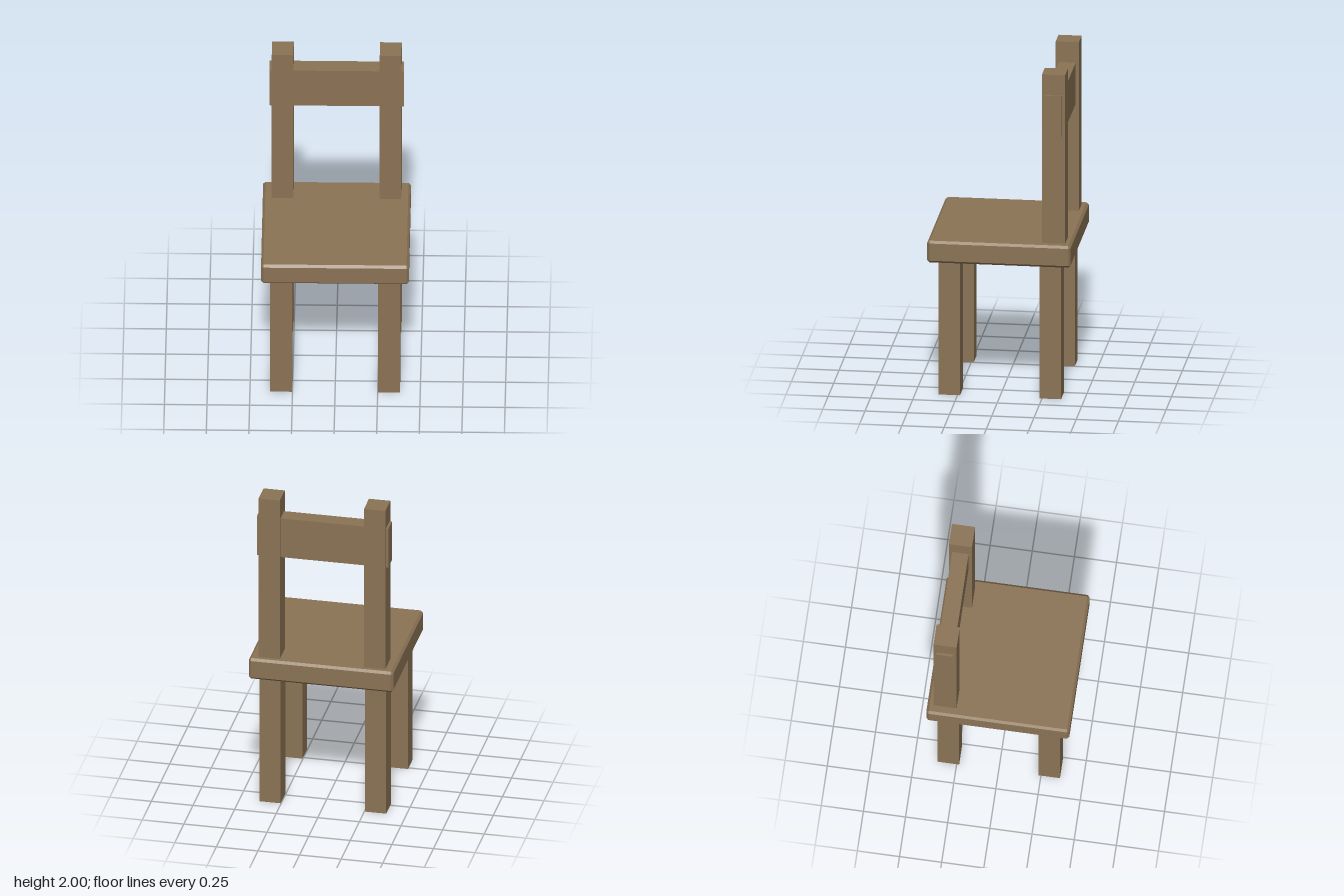
import * as THREE from 'three';
import { ConvexGeometry } from 'three/addons/geometries/ConvexGeometry.js';

// Box whose twelve edges are all cut by the same chamfer
function chamferedBox(w, h, d, c) {
  const half = [w / 2, h / 2, d / 2];
  const points = [];
  for (const sx of [-1, 1]) for (const sy of [-1, 1]) for (const sz of [-1, 1]) {
    for (let axis = 0; axis < 3; axis++) {
      // each corner becomes three points, one on each neighbouring face
      const [x, y, z] = half.map((v, i) => (i === axis ? v : v - c));
      points.push(new THREE.Vector3(sx * x, sy * y, sz * z));
    }
  }
  return new ConvexGeometry(points);
}

export function createModel() {
  const chair = new THREE.Group();
  chair.name = 'chair';
  const wood = new THREE.MeshStandardMaterial({ color: 0x8b7355 });
  wood.name = 'brown wood';

  const add = (name, geometry, x, y, z) => {
    const mesh = new THREE.Mesh(geometry, wood);
    mesh.name = name;
    mesh.position.set(x, y, z);
    chair.add(mesh);
  };

  // Seat slab
  const seatBottom = 0.826, seatTop = 0.96;
  add('seat', chamferedBox(0.868, seatTop - seatBottom, 0.848, 0.014), 0, (seatBottom + seatTop) / 2, 0);

  // Legs and back posts, mirrored left and right
  const legHeight = 0.84;
  const legGeometry = new THREE.BoxGeometry(0.128, legHeight, 0.128);
  const postHeight = 2 - 0.94;
  const postGeometry = new THREE.BoxGeometry(0.128, postHeight, 0.137);
  for (const [side, sx] of [['left', 1], ['right', -1]]) {
    const x = sx * 0.317;
    add(side + 'FrontLeg', legGeometry, x, legHeight / 2, 0.299);
    add(side + 'BackLeg', legGeometry, x, legHeight / 2, -0.299);
    add(side + 'BackPost', postGeometry, x, 2 - postHeight / 2, -0.3185);
  }

  // Backrest rail, its ends showing through the posts
  add('backRail', new THREE.BoxGeometry(0.79, 0.254, 0.098), 0, 1.747, -0.319);

  return chair;
}
